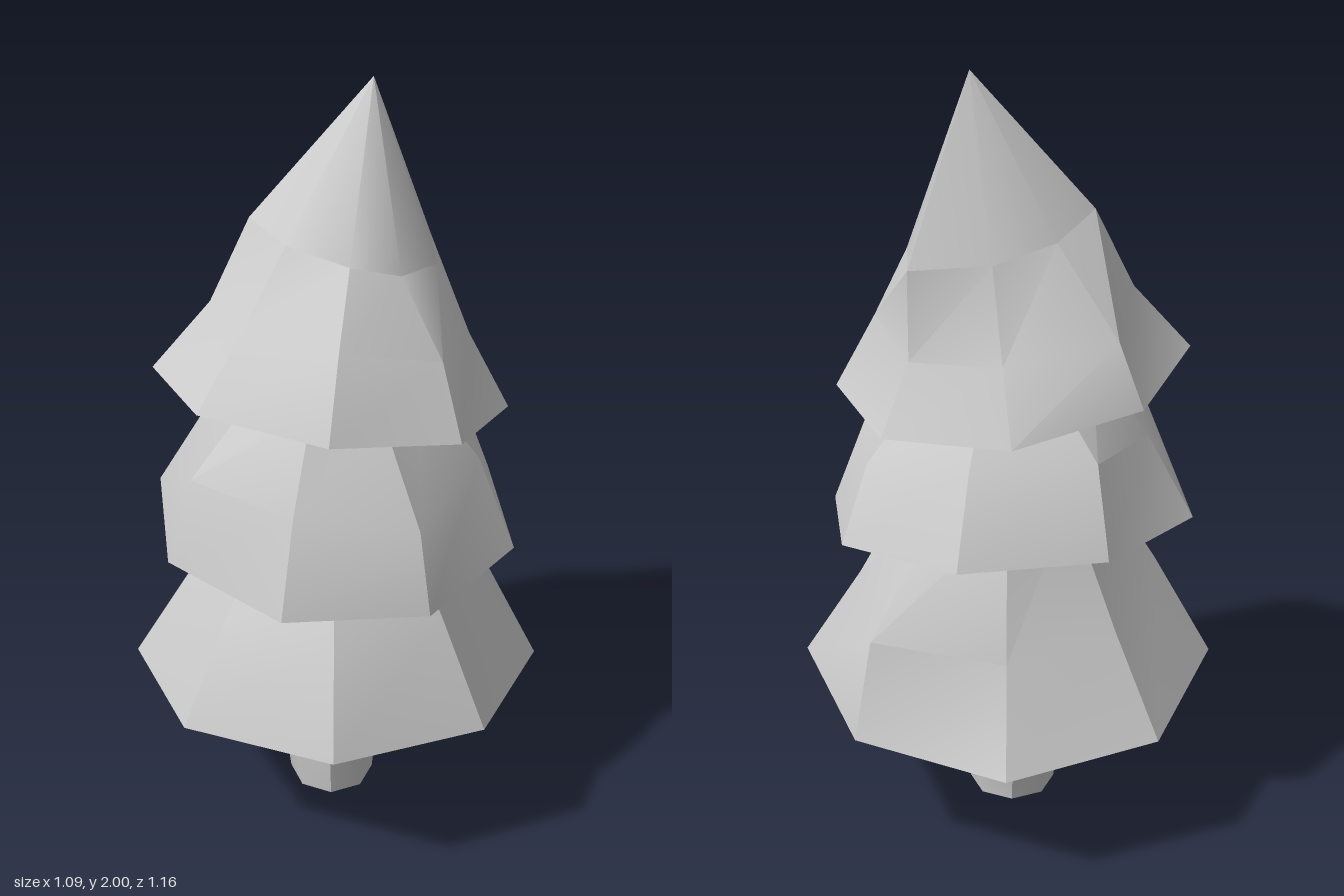
import * as THREE from 'three';
import { toCreasedNormals } from 'three/addons/utils/BufferGeometryUtils.js';

const SIDES = 8;
const SMOOTH = 0.8, FACETED = 0.5;

// A ring is an octagon: centre x/z, radii, mean height and tilt (height change per unit x and z)
const ring = (x, z, rx, rz, y, tiltX = 0, tiltZ = 0, turn = 0) =>
  Array.from({ length: SIDES }, (_, i) => {
    const a = (i / SIDES) * Math.PI * 2 + turn;
    const dx = rx * Math.cos(a), dz = rz * Math.sin(a);
    return new THREE.Vector3(x + dx, y + tiltX * dx + tiltZ * dz, z + dz);
  });

// A hand-shaped ring from eight corners
const corners = (list) => list.map((p) => new THREE.Vector3(...p));

const middle = (r) => r.reduce((s, p) => s.add(p), new THREE.Vector3()).divideScalar(SIDES);

// Skin the rings from bottom to top, closing both ends with a fan
function loft(name, crease, rings, tip = middle(rings[rings.length - 1])) {
  const pts = rings.flat();
  const bottom = pts.push(middle(rings[0])) - 1;
  const top = pts.push(tip) - 1;
  const last = (rings.length - 1) * SIDES;
  const index = [];
  for (let j = 0; j < SIDES; j++) {
    const k = (j + 1) % SIDES;
    index.push(bottom, j, k, top, last + k, last + j);
    for (let o = 0; o < last; o += SIDES) {
      index.push(o + j, o + SIDES + j, o + k, o + k, o + SIDES + j, o + SIDES + k);
    }
  }
  const geo = new THREE.BufferGeometry().setFromPoints(pts);
  geo.setIndex(index);
  const mesh = new THREE.Mesh(
    toCreasedNormals(geo, crease),
    new THREE.MeshStandardMaterial({ color: 0xcccccc })
  );
  mesh.name = name;
  return mesh;
}

export function createModel() {
  const tree = new THREE.Group();
  tree.name = 'tree';

  // Trunk, bulging at mid height
  const bulge = ring(0.002, -0.012, 0.138, 0.153, 0.215);
  bulge[3].set(-0.12, 0.22, 0.115);
  bulge[5].set(-0.115, 0.215, -0.135);
  bulge[7].set(0.11, 0.215, -0.125);
  tree.add(loft('trunk', SMOOTH, [
    ring(-0.012, 0, 0.114, 0.123, 0),
    ring(-0.014, 0, 0.126, 0.138, 0.11),
    bulge,
    ring(-0.018, 0.004, 0.13, 0.139, 0.285),
    ring(-0.015, 0.008, 0.138, 0.152, 0.43),
  ]));

  // Lower branches, tipped up at the front, with a stepped-out back left corner
  const lowerMid = ring(0, 0.02, 0.39, 0.45, 0.665, 0, 0.19);
  lowerMid[0].set(0.39, 0.64, -0.02);
  lowerMid[7].set(0.34, 0.62, -0.385);
  tree.add(loft('lowerBranches', FACETED, [
    ring(0, 0, 0.543, 0.578, 0.397, 0, 0.108),
    lowerMid,
    ring(0, -0.02, 0.22, 0.27, 0.95, 0, 0.1),
  ]));

  // Middle branches, turned and tipped up at the back
  const turn = 0.26;
  tree.add(loft('middleBranches', FACETED, [
    ring(-0.005, -0.02, 0.485, 0.485, 0.828, -0.04, -0.08, turn),
    corners([
      [0.365, 1.06, 0.09], [0.21, 1.01, 0.37], [-0.1, 1.05, 0.38], [-0.36, 1.06, 0.21],
      [-0.355, 1.07, -0.11], [-0.22, 1.1, -0.375], [0.09, 1.09, -0.395], [0.35, 1.03, -0.21],
    ]),
    ring(0, -0.01, 0.22, 0.27, 1.26, -0.05, 0.05, turn),
  ]));

  // Upper branches with uneven shoulders
  const shoulders = corners([
    [0.25, 1.54, -0.04], [0.16, 1.57, 0.1], [0.035, 1.61, 0.14], [-0.12, 1.64, 0.08],
    [-0.215, 1.65, -0.07], [-0.12, 1.6, -0.195], [0.035, 1.56, -0.25], [0.24, 1.54, -0.23],
  ]);
  tree.add(loft('upperBranches', FACETED, [
    ring(-0.012, 0, 0.452, 0.425, 1.215, -0.12, 0.14),
    corners([
      [0.335, 1.36, -0.02], [0.26, 1.4, 0.22], [0.01, 1.47, 0.325], [-0.22, 1.47, 0.19],
      [-0.315, 1.44, -0.03], [-0.27, 1.38, -0.285], [0.01, 1.33, -0.33], [0.24, 1.31, -0.235],
    ]),
    shoulders,
  ]));

  // Leaning pointed crown
  tree.add(loft('crown', SMOOTH, [shoulders], new THREE.Vector3(0.09, 2, -0.11)));

  return tree;
}
